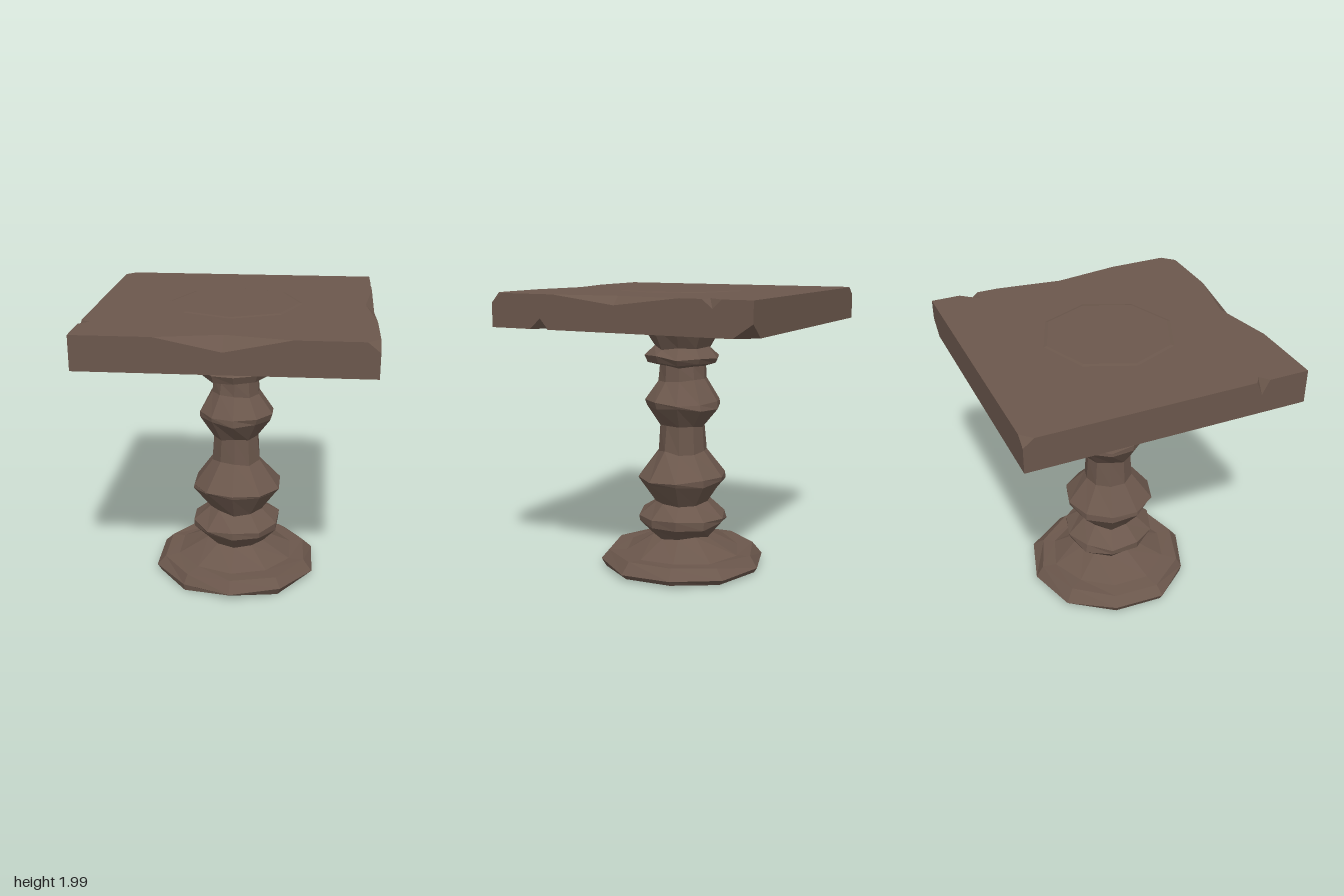
import * as THREE from 'three';

const H = 0.93, TOP = 1.995, BOTTOM = 1.77;

// Repeatable value from -1 to 1 for a chiselled look
function noise(i, j) {
  const s = Math.sin(i * 127.1 + j * 311.7) * 43758.5453;
  return (s - Math.floor(s)) * 2 - 1;
}

// Turned pedestal: lathe profile with each corner nudged by a rule
function pedestalGeometry() {
  const sides = 10;
  const profile = [
    [0, 0.02], [0.55, 0.02], [0.585, 0.06], [0.53, 0.125], [0.42, 0.135], [0.21, 0.24],
    [0.315, 0.345], [0.315, 0.39], [0.195, 0.49], [0.315, 0.65], [0.32, 0.68],
    [0.175, 0.86], [0.16, 1.045], [0.265, 1.185], [0.265, 1.22], [0.17, 1.37], [0.165, 1.47],
    [0.245, 1.49], [0.265, 1.54], [0.20, 1.60], [0.305, 1.78]
  ];
  const geo = new THREE.LatheGeometry(profile.map(p => new THREE.Vector2(...p)), sides);
  const pos = geo.attributes.position, n = profile.length;
  for (let k = 0; k < pos.count; k++) {
    const side = Math.floor(k / n) % sides, ring = k % n;
    if (ring === 0 || ring === n - 1) continue;
    const scale = 1 + 0.035 * noise(side + 1, ring);
    pos.setXYZ(k, pos.getX(k) * scale,
      Math.max(0, pos.getY(k) + 0.014 * noise(side + 20, ring)), pos.getZ(k) * scale);
  }
  geo.computeVertexNormals();
  return geo;
}

// Flat polygons, triangulated and turned to face away from the slab centre
function facesGeometry(loops) {
  const out = [], centre = new THREE.Vector3(0, (TOP + BOTTOM) / 2, 0);
  for (const loop of loops) {
    const pts = loop.map(p => new THREE.Vector3(...p));
    const normal = new THREE.Vector3();
    pts.forEach((p, i) => normal.add(p.clone().cross(pts[(i + 1) % pts.length])));
    const a = normal.toArray().map(Math.abs), axis = a.indexOf(Math.max(...a));
    const flat = loop.map(p => new THREE.Vector2(p[(axis + 1) % 3], p[(axis + 2) % 3]));
    for (const tri of THREE.ShapeUtils.triangulateShape(flat, [])) {
      const [p, q, r] = tri.map(i => pts[i]);
      const nrm = q.clone().sub(p).cross(r.clone().sub(p));
      const mid = p.clone().add(q).add(r).divideScalar(3).sub(centre);
      for (const v of nrm.dot(mid) < 0 ? [p, r, q] : [p, q, r]) out.push(v.x, v.y, v.z);
    }
  }
  const geo = new THREE.BufferGeometry();
  geo.setAttribute('position', new THREE.Float32BufferAttribute(out, 3));
  geo.computeVertexNormals();
  return geo;
}

function slabGeometry() {
  const T = TOP, B = BOTTOM;
  // Edge chips: start, point on horizontal face, end, point on upright face
  const front = [[-0.42, T, H], [0, T, 0.84], [0.42, T, H], [0, 1.91, H]];
  const right = [[H, T, 0.45], [0.87, T, 0], [H, T, -0.45], [H, 1.94, 0]];
  const nick = [[H, T, -0.6], [0.83, T, -0.61], [H, T, -0.73], [H, 1.94, -0.67]];
  const under = [[H, B, -0 + 0.49], [0.86, B, 0.55], [H, B, 0.63], [H, 1.84, 0.55]];
  const left = [[-H, T, 0.57], [-0.87, T, 0.61], [-H, T, 0.66], [-H, 1.9, 0.61]];
  // Corner chips: point along x edge, along z edge, along upright edge
  const frontCorner = [[0.85, T, H], [H, T, 0.85], [H, 1.93, H]];
  const backCorner = [[-0.86, T, -H], [-H, T, -0.86], [-H, 1.94, -H]];
  const lowCorner = [[0.82, B, -H], [H, B, -0.8], [H, 1.86, -H]];
  const flatSide = c => c.slice(0, 3);
  const upright = c => [c[0], c[3], c[2]];

  const loops = [
    // top
    [...flatSide(front), frontCorner[0], frontCorner[1], ...flatSide(right), ...flatSide(nick),
      [H, T, -H], backCorner[0], backCorner[1], ...flatSide(left), [-H, T, H]],
    // underside
    [[-H, B, -H], lowCorner[0], lowCorner[1], ...flatSide(under), [H, B, H], [-H, B, H]],
    // front
    [[-H, T, H], ...upright(front), frontCorner[0], frontCorner[2], [H, B, H], [-H, B, H]],
    // right
    [frontCorner[2], frontCorner[1], ...upright(right), ...upright(nick), [H, T, -H],
      lowCorner[2], lowCorner[1], ...upright(under), [H, B, H]],
    // back
    [[H, T, -H], backCorner[0], backCorner[2], [-H, B, -H], lowCorner[0], lowCorner[2]],
    // left
    [backCorner[2], backCorner[1], ...upright(left), [-H, T, H], [-H, B, H], [-H, B, -H]],
    frontCorner, backCorner, lowCorner
  ];
  for (const c of [front, right, nick, under, left]) {
    loops.push([c[0], c[1], c[3]], [c[1], c[2], c[3]]);
  }
  return facesGeometry(loops);
}

export function createModel() {
  const group = new THREE.Group();
  group.name = 'pedestalTable';
  const wood = new THREE.MeshStandardMaterial({ color: 0x6b574c });
  wood.name = 'darkWood';
  wood.flatShading = true;

  const add = (name, geometry) => {
    const mesh = new THREE.Mesh(geometry, wood);
    mesh.name = name;
    group.add(mesh);
    return mesh;
  };

  add('pedestal', pedestalGeometry());
  add('tabletop', slabGeometry());

  // Shallow octagonal relief in the middle of the tabletop
  add('tabletopRelief', new THREE.CylinderGeometry(0.43, 0.47, 0.009, 8)).position.y = 1.9955;
  return group;
}
